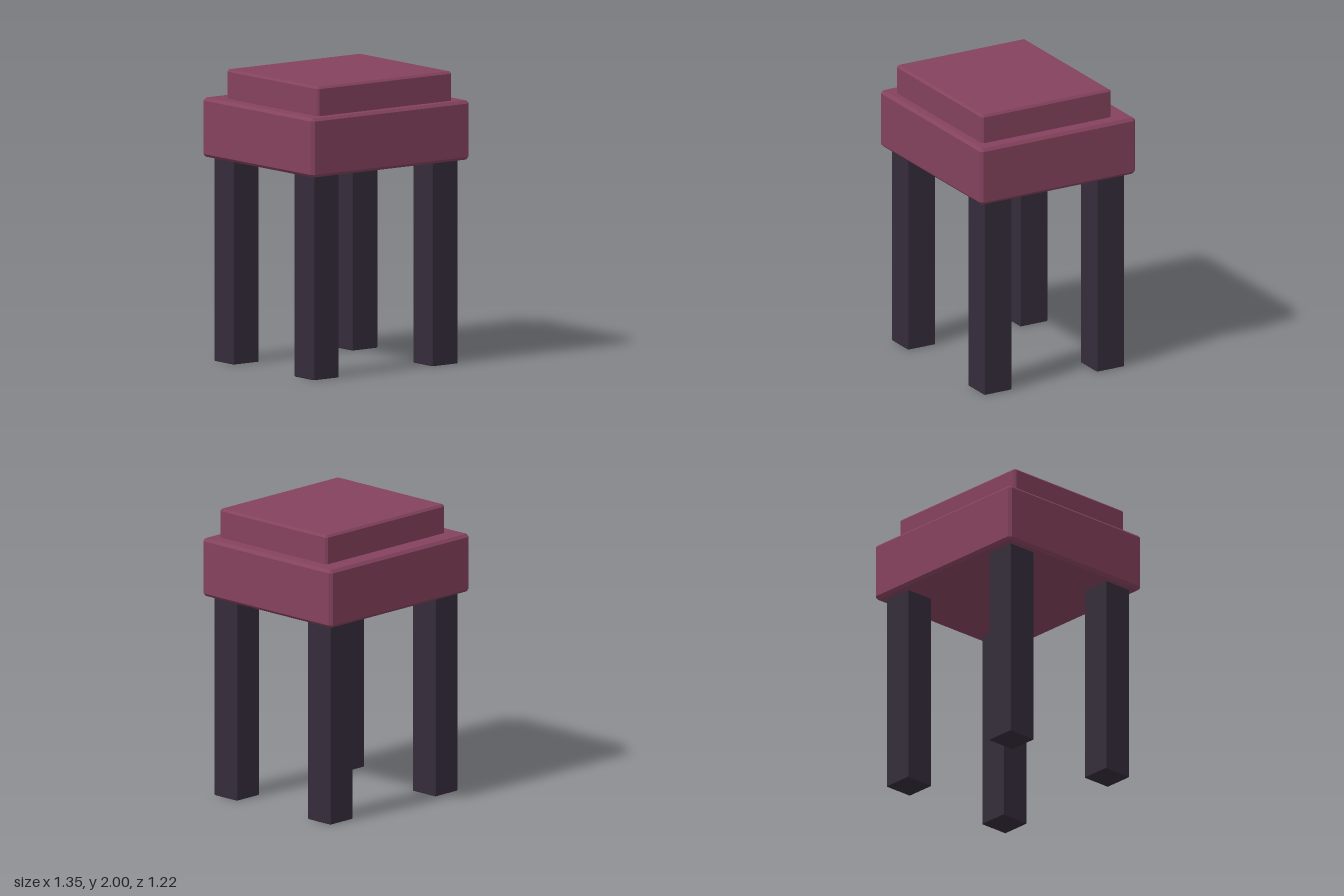
import * as THREE from 'three';
import { ConvexGeometry } from 'three/addons/geometries/ConvexGeometry.js';

// Box with every edge cut by a flat chamfer c
function chamferBox(w, h, d, c) {
  const points = [];
  for (const sx of [-1, 1]) for (const sy of [-1, 1]) for (const sz of [-1, 1]) {
    const x = w / 2, y = h / 2, z = d / 2;
    points.push(
      new THREE.Vector3(sx * x, sy * (y - c), sz * (z - c)),
      new THREE.Vector3(sx * (x - c), sy * y, sz * (z - c)),
      new THREE.Vector3(sx * (x - c), sy * (y - c), sz * z)
    );
  }
  return new ConvexGeometry(points);
}

export function createModel() {
  const stool = new THREE.Group();
  stool.name = 'stool';

  const upholstery = new THREE.MeshStandardMaterial({ color: 0x84425d });
  upholstery.name = 'plum upholstery';
  const darkWood = new THREE.MeshStandardMaterial({ color: 0x352d3b });
  darkWood.name = 'dark wood';

  const add = (name, geometry, material, x, y, z) => {
    const mesh = new THREE.Mesh(geometry, material);
    mesh.name = name;
    mesh.position.set(x, y, z);
    stool.add(mesh);
  };

  // Thick seat block
  add('seat', chamferBox(1.35, 0.405, 1.22, 0.02), upholstery, 0, 1.5975, 0);

  // Cushion, set slightly forward and sunk into the seat
  add('cushion', chamferBox(1.15, 0.3, 1.014, 0.015), upholstery, 0, 1.85, 0.035);

  // Four square legs
  const legGeometry = chamferBox(0.215, 1.42, 0.215, 0.004);
  for (const [sx, side] of [[1, 'Left'], [-1, 'Right']]) {
    for (const [sz, end] of [[1, 'front'], [-1, 'back']]) {
      add(`${end}${side}Leg`, legGeometry, darkWood, sx * 0.508, 0.71, sz * 0.441);
    }
  }

  return stool;
}
